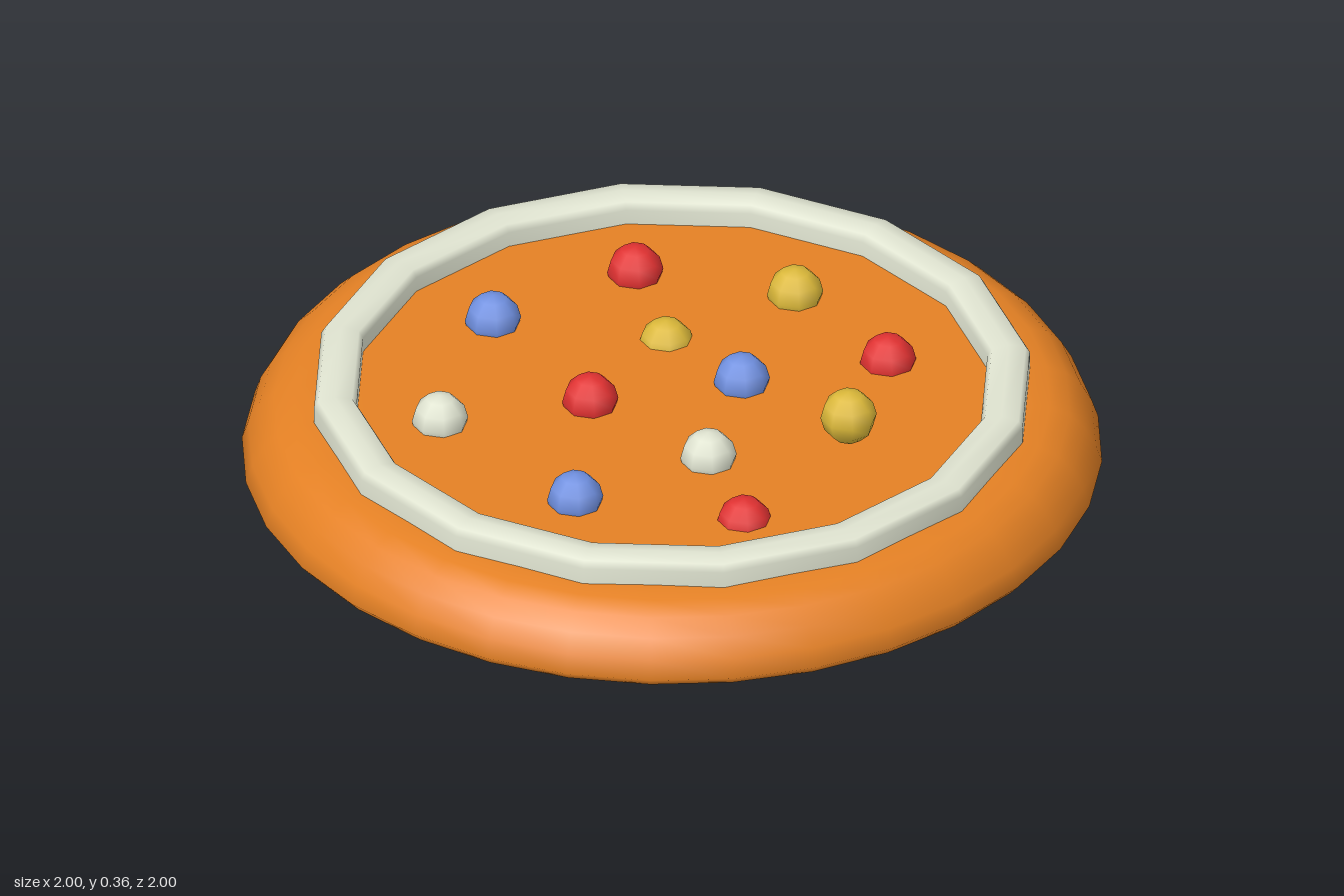
import * as THREE from 'three';

const lathe = (points, sides) =>
  new THREE.LatheGeometry(points.map(([r, y]) => new THREE.Vector2(r, y)), sides);

export function createModel() {
  const model = new THREE.Group();
  const mat = (color) => new THREE.MeshStandardMaterial({ color });
  const add = (name, geometry, material) => {
    const mesh = new THREE.Mesh(geometry, material);
    mesh.name = name;
    model.add(mesh);
    return mesh;
  };

  // Round base with a slightly domed underside, rounded flank and flat top
  add('base', lathe([
    [0, 0], [0.6, 0.006], [0.92, 0.014], [0.98, 0.022], [1, 0.045], [0.985, 0.09],
    [0.96, 0.135], [0.925, 0.17], [0.88, 0.19], [0.82, 0.197], [0.7, 0.198], [0, 0.198],
  ], 32), mat(0xe58124));

  // Faceted raised border around the top
  add('border', lathe([
    [0.84, 0.17], [0.84, 0.235], [0.83, 0.252], [0.79, 0.26],
    [0.75, 0.252], [0.74, 0.235], [0.74, 0.17],
  ], 16), mat(0xdfe3d0));

  // Low-poly sweets sunk into the top: x, centre height, z
  const sweets = {
    red: [0xe23232, [[-0.15, 0.21, -0.125], [0.36, 0.21, -0.375], [0.41, 0.202, 0.32], [-0.33, 0.185, 0.455]]],
    blue: [0x7090e0, [[-0.005, 0.21, -0.515], [-0.51, 0.21, 0.1], [0.13, 0.21, 0.105]]],
    yellow: [0xdcb93a, [[0.185, 0.18, -0.155], [0.505, 0.21, -0.02], [0.053, 0.29, 0.472]]],
    white: [0xdfe3d0, [[-0.425, 0.21, -0.355], [-0.18, 0.21, 0.24]]],
  };
  const ball = new THREE.SphereGeometry(0.066, 8, 6);
  for (const [name, [color, spots]] of Object.entries(sweets)) {
    const material = mat(color);
    for (const spot of spots) add(name + 'Sweet', ball, material).position.set(...spot);
  }
  return model;
}
